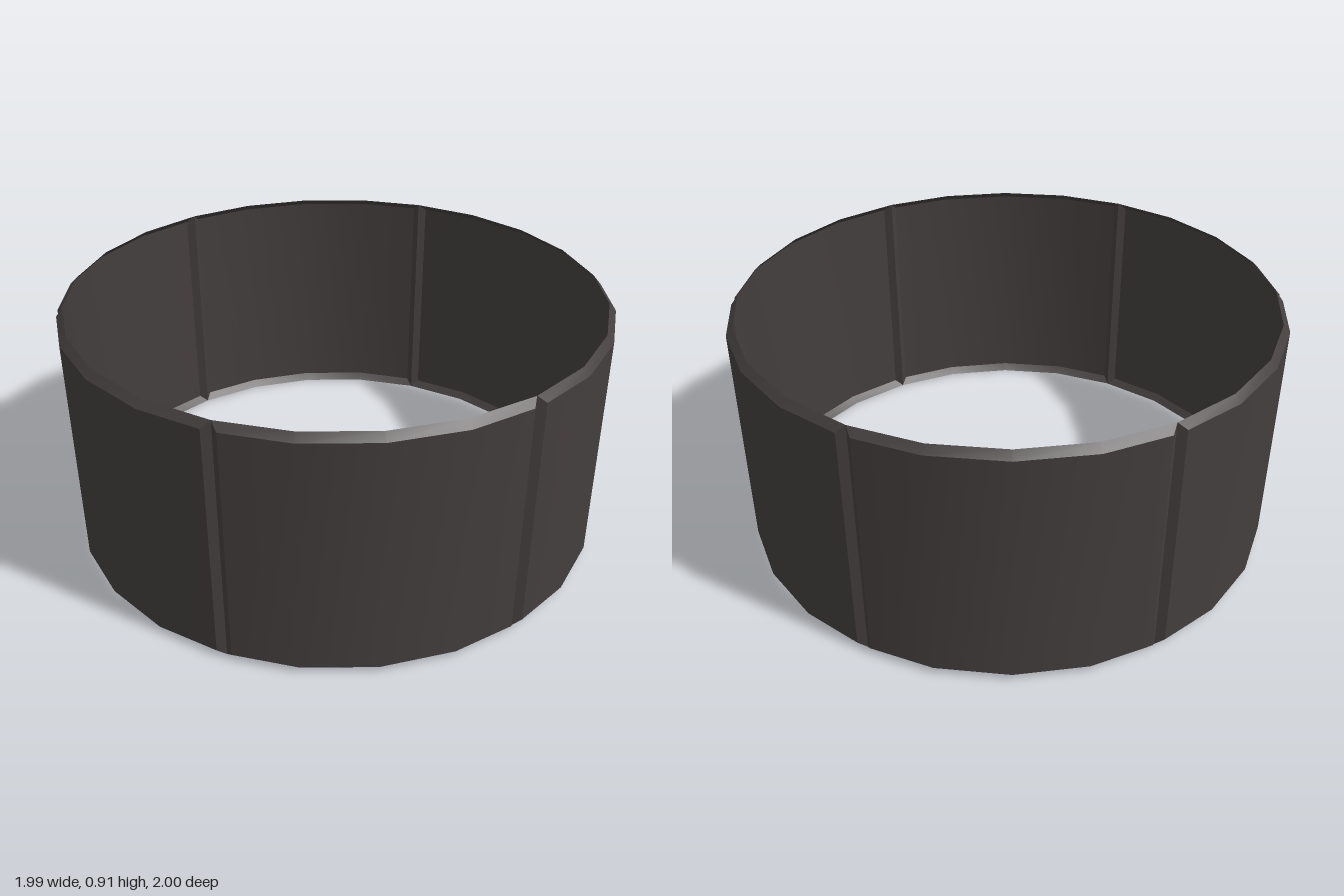
import * as THREE from 'three';
import { mergeGeometries } from 'three/addons/utils/BufferGeometryUtils.js';

const PANELS = 6, HEIGHT = 0.91, BEVEL = 0.025;

// Row of points around the y axis at one height, from [angle in degrees, radius] pairs
const row = (pairs, y) => pairs.map(([deg, r]) => {
  const a = THREE.MathUtils.degToRad(deg);
  return new THREE.Vector3(r * Math.sin(a), y, r * Math.cos(a));
});

// Smooth strip between a lower and an upper row, facing outward
function strip(lower, upper) {
  const n = lower.length, index = [];
  for (let i = 0; i < n - 1; i++) index.push(i, i + 1, n + i + 1, i, n + i + 1, n + i);
  const geometry = new THREE.BufferGeometry().setFromPoints([...lower, ...upper]);
  geometry.setIndex(index);
  geometry.computeVertexNormals();
  return geometry;
}

// One curved panel: an outer face with bevels sloping inward on all four edges
function panelGeometry() {
  const outer = [[-28.45, 0.996], [-15, 1], [0, 1], [15, 1], [28.45, 0.996]];
  const inner = [-30, -15, 0, 15, 30].map((deg) => [deg, 1 - BEVEL]);
  const rimBottom = row(inner, 0), rimTop = row(inner, HEIGHT);
  const faceBottom = row(outer, BEVEL), faceTop = row(outer, HEIGHT - BEVEL);
  const last = outer.length - 1;
  return mergeGeometries([
    strip(faceBottom, faceTop),
    strip(rimBottom, faceBottom),
    strip(faceTop, rimTop),
    strip([rimBottom[0], faceBottom[0]], [rimTop[0], faceTop[0]]),
    strip([faceBottom[last], rimBottom[last]], [faceTop[last], rimTop[last]]),
  ]);
}

export function createModel() {
  const group = new THREE.Group();
  group.name = 'panelRing';
  const charcoal = new THREE.MeshStandardMaterial({ color: 0x443e3e, side: THREE.DoubleSide });
  charcoal.name = 'charcoal';

  // Six equal panels meeting in V-shaped seams
  const geometry = panelGeometry();
  for (let i = 0; i < PANELS; i++) {
    const panel = new THREE.Mesh(geometry, charcoal);
    panel.name = `panel${i + 1}`;
    panel.rotation.y = (i * Math.PI * 2) / PANELS;
    group.add(panel);
  }
  return group;
}
